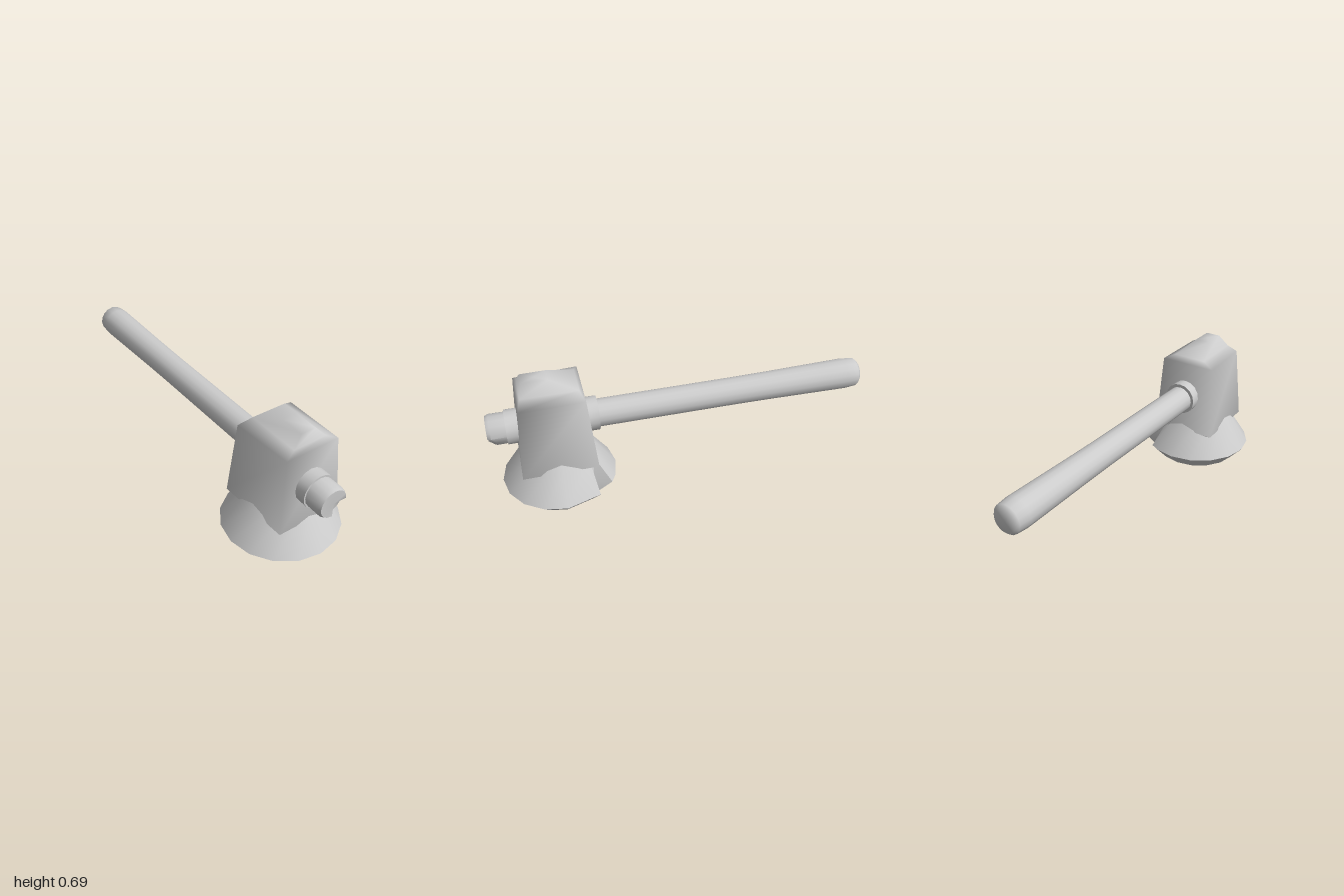
import * as THREE from 'three';
import { toCreasedNormals } from 'three/addons/utils/BufferGeometryUtils.js';

const HEAD_Z = 0.665; // centre line of the head
const SHAFT_Y = 0.418; // height of the handle axis

// Skin a stack of rings (bottom to top, counter-clockwise from above) and cap both ends.
function loft(rings) {
  const n = rings[0].length;
  const pos = rings.flat(2);
  const index = [];
  for (let i = 0; i < rings.length - 1; i++) {
    for (let j = 0; j < n; j++) {
      const k = (j + 1) % n;
      const a = i * n + j, b = i * n + k;
      index.push(a, b, b + n, a, b + n, a + n);
    }
  }
  const cap = (ring, start, up) => {
    const c = pos.length / 3;
    for (let d = 0; d < 3; d++) pos.push(ring.reduce((s, p) => s + p[d], 0) / n);
    for (let j = 0; j < n; j++) {
      const a = start + j, b = start + (j + 1) % n;
      index.push(c, up ? a : b, up ? b : a);
    }
  };
  cap(rings[0], 0, false);
  cap(rings[rings.length - 1], (rings.length - 1) * n, true);
  const geo = new THREE.BufferGeometry();
  geo.setAttribute('position', new THREE.Float32BufferAttribute(pos, 3));
  geo.setIndex(index);
  geo.computeVertexNormals();
  return geo;
}

// Turned part along z from [radius, z] points, back to front.
function turned(profile, segments = 16) {
  const geo = new THREE.LatheGeometry(profile.map(([r, z]) => new THREE.Vector2(r, z)), segments);
  geo.rotateX(Math.PI / 2);
  return geo;
}

export function createModel() {
  const group = new THREE.Group();
  const material = new THREE.MeshStandardMaterial({ color: 0xcccccc });
  const add = (name, geo, y = 0, z = 0) => {
    const mesh = new THREE.Mesh(geo, material);
    mesh.name = name;
    mesh.position.set(0, y, z);
    group.add(mesh);
  };

  // Flared striking face with a V-shaped chip at the back of its left side
  const CHIP = 46;
  const angles = [0, 36, CHIP, 57];
  for (let k = 3; k < 16; k++) angles.push(k * 22.5);
  const baseProfile = [[0.23, 0], [0.3, 0.075], [0.205, 0.22], [0.175, 0.258]];
  const baseRings = baseProfile.map(([r, y]) => angles.map((deg) => {
    const t = THREE.MathUtils.degToRad(deg);
    const rr = deg === CHIP ? Math.min(r, 0.215) : r;
    return [rr * Math.cos(t), y, -rr * Math.sin(t)];
  }));
  add('strikingFace', toCreasedNormals(loft(baseRings), 0.6), 0, HEAD_Z);

  // Tapered block: [y, right x, back left x, front left x, back z, front z]
  const blockRings = [
    [0.183, 0.145, -0.14, -0.14, 0.51, 0.83],
    [0.21, 0.178, -0.19, -0.173, 0.475, 0.862],
    [0.61, 0.153, -0.162, -0.142, 0.508, 0.835],
    [0.64, 0.092, -0.095, -0.09, 0.53, 0.818],
    [0.695, 0.041, -0.043, -0.04, 0.67, 0.8],
  ].map(([y, right, backLeft, frontLeft, back, front]) => [
    [right, y, back], [backLeft, y, back], [frontLeft, y, front], [right, y, front],
  ]);
  add('headBlock', loft(blockRings));

  // Handle with a swollen grip, running right through the head
  const handle = turned([
    [0, -1], [0.062, -1], [0.077, -0.985], [0.083, -0.92], [0.081, -0.8], [0.076, -0.5],
    [0.074, -0.3], [0.073, 0.45], [0.08, 0.85], [0.081, 0.982], [0.073, 1], [0, 1],
  ]);
  // Worn corner on the front end
  const p = handle.attributes.position;
  for (let i = 0; i < p.count; i++) {
    const x = p.getX(i), y = p.getY(i);
    if (p.getZ(i) > 0.95 && x > 0.02 && y < -0.02) p.setZ(i, p.getZ(i) - 0.025);
  }
  add('handle', toCreasedNormals(handle, 0.8), SHAFT_Y);

  // Collars where the handle enters and leaves the head
  for (const [name, back, front] of [['frontCollar', 0.8, 0.905], ['backCollar', 0.44, 0.54]]) {
    const collar = turned([[0, back], [0.089, back], [0.089, front], [0, front]]);
    add(name, toCreasedNormals(collar, 0.6), SHAFT_Y + 0.002);
  }

  return group;
}
